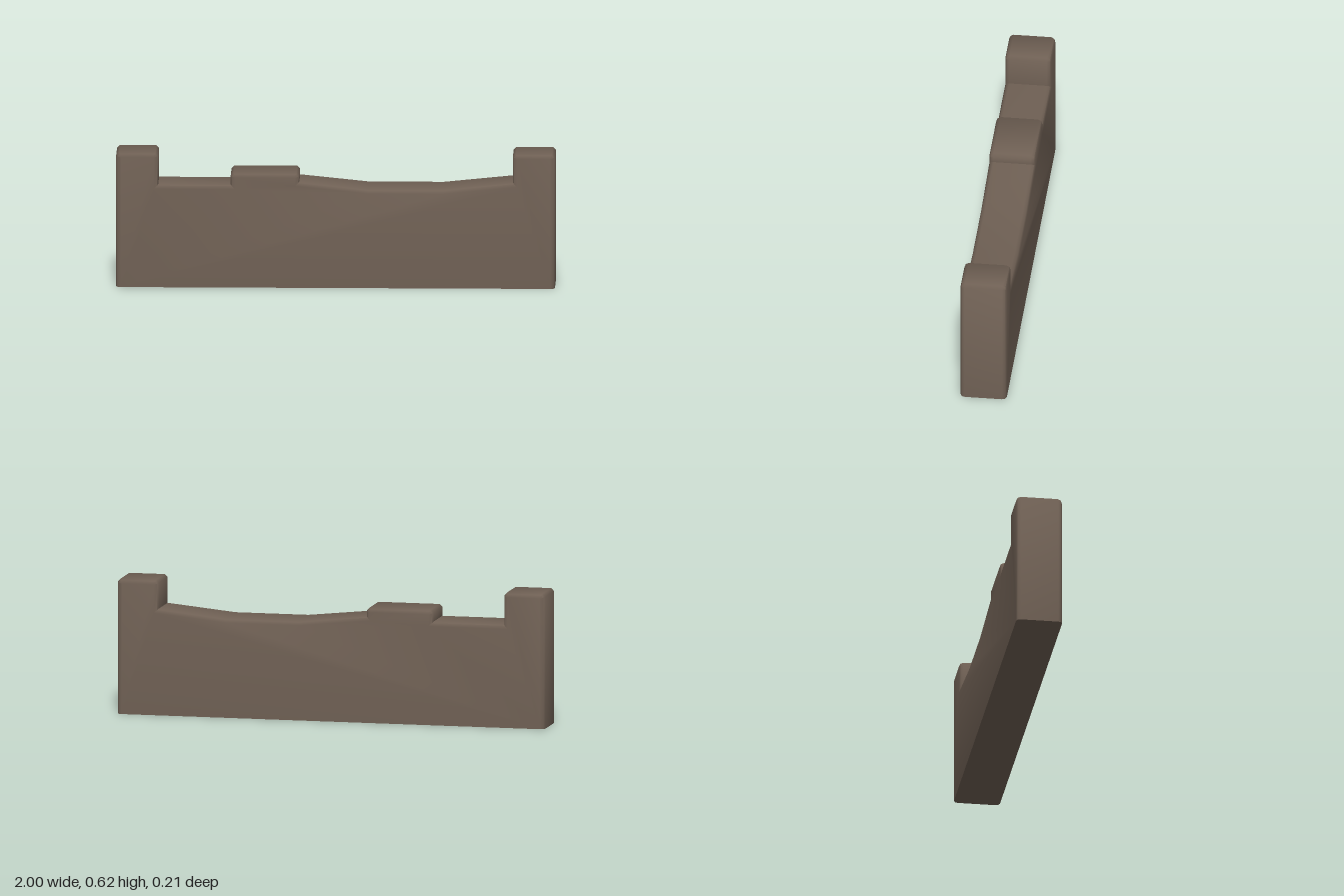
import * as THREE from 'three';
import { toCreasedNormals } from 'three/addons/utils/BufferGeometryUtils.js';

const BEVEL = 0.02, HALF_DEPTH = 0.106, CUT = 0.013;

export function createModel() {
  const model = new THREE.Group();
  model.name = 'lowWall';
  const stone = new THREE.MeshStandardMaterial({ color: 0x6f6054 });
  stone.name = 'brown stone';

  // Wall outline, counter-clockwise; it runs below ground and is flattened there.
  // A raised block's two top corners are chamfered.
  const block = (right, left, top) => [
    [right, top - CUT], [right - CUT, top], [left + CUT, top], [left, top - CUT],
  ];
  const outline = [
    [-1, -0.06], [1, -0.06],
    ...block(1, 0.808, 0.622),                            // left end post
    [0.808, 0.49], [0.49, 0.458], [0.15, 0.458], [-0.165, 0.49], // sagging top
    ...block(-0.165, -0.478, 0.53),                       // raised step
    [-0.478, 0.476], [-0.808, 0.476],                     // flat ledge
    ...block(-0.808, -1, 0.622),                          // right end post
  ];
  const shape = new THREE.Shape(outline.map(([x, y]) => new THREE.Vector2(x, y)));

  const geometry = new THREE.ExtrudeGeometry(shape, {
    depth: 2 * (HALF_DEPTH - BEVEL),
    bevelEnabled: true, bevelSize: BEVEL, bevelThickness: BEVEL,
    bevelOffset: -BEVEL, bevelSegments: 2,
  });
  geometry.translate(0, 0, BEVEL - HALF_DEPTH);

  // Square, flat underside
  const position = geometry.attributes.position;
  for (let i = 0; i < position.count; i++) {
    position.setY(i, Math.max(0, position.getY(i)));
  }
  geometry.clearGroups();

  const wall = new THREE.Mesh(toCreasedNormals(geometry, 0.9), stone);
  wall.name = 'wall';
  model.add(wall);
  return model;
}
